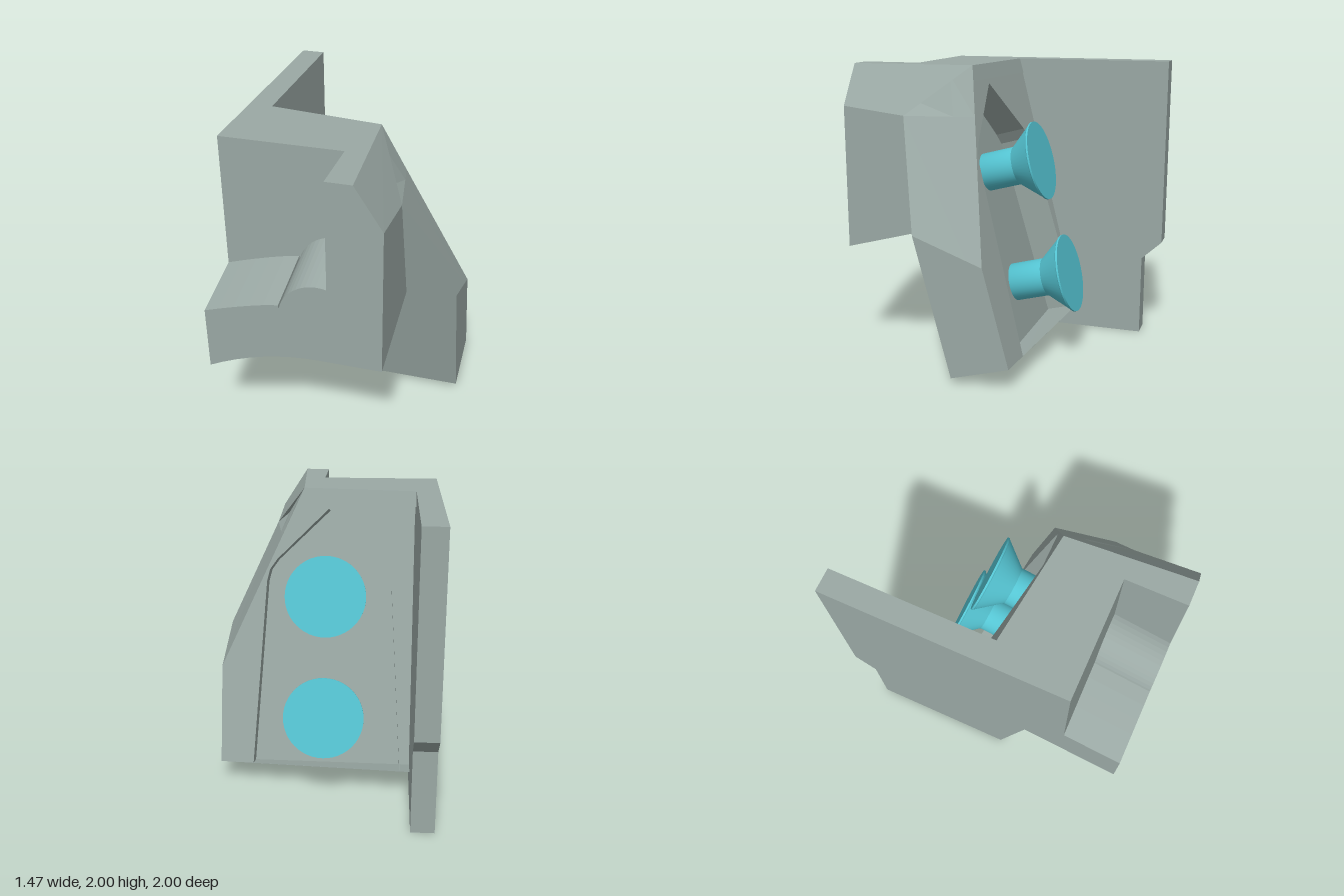
import * as THREE from 'three';

const S = Math.tan(Math.PI / 12); // the whole part leans back by 15 degrees
const TILT = Math.PI / 12;
const FLOOR = -0.207, FRONT = 0.119; // offsets of leaning planes z = offset + S*y

// Closed solid between two matching loops of 3D points; u, v are the axes used to cap it
function loft(a, b, u = 0, v = 1) {
  const n = a.length, tris = [];
  const flat = a.map(p => new THREE.Vector2(p[u], p[v]));
  const ccw = !THREE.ShapeUtils.isClockWise(flat);
  for (const [i, j, k] of THREE.ShapeUtils.triangulateShape(flat, [])) {
    const s = (flat[j].x - flat[i].x) * (flat[k].y - flat[i].y) - (flat[j].y - flat[i].y) * (flat[k].x - flat[i].x);
    const t = (s > 0) === ccw ? [i, j, k] : [i, k, j];
    tris.push([a[t[0]], a[t[2]], a[t[1]]], [b[t[0]], b[t[1]], b[t[2]]]);
  }
  for (let i = 0; i < n; i++) {
    const j = (i + 1) % n;
    tris.push([a[i], a[j], b[j]], [a[i], b[j], b[i]]);
  }
  // Turn the solid outward if its signed volume is negative
  const [A, B, C] = [0, 1, 2].map(() => new THREE.Vector3());
  let vol = 0;
  for (const t of tris) vol += A.fromArray(t[0]).dot(B.fromArray(t[1]).cross(C.fromArray(t[2])));
  const pos = tris.flatMap(t => (vol < 0 ? [t[0], t[2], t[1]] : t)).flat();
  const g = new THREE.BufferGeometry();
  g.setAttribute('position', new THREE.Float32BufferAttribute(pos, 3));
  g.computeVertexNormals();
  return g;
}

const rim = (x, y) => [x, y, -0.3855 + 0.115 * x + S * y];
const front = (x, y) => [x, y, FRONT + S * y];

export function createModel() {
  const group = new THREE.Group();
  const grey = new THREE.MeshStandardMaterial({ color: 0x9aa8a4 });
  grey.name = 'grey body';
  const cyan = new THREE.MeshStandardMaterial({ color: 0x55c5d3 });
  cyan.name = 'cyan fittings';
  const add = (name, geo, mat = grey, parent = group) => {
    const m = new THREE.Mesh(geo, mat);
    m.name = name;
    parent.add(m);
    return m;
  };

  // Flat side wall with a stepped rear edge
  const wall = [[-0.86, 0], [0.12, 0], [0.6, 1.795], [0.6, 2], [-1, 2], [-1, 0.7], [-0.86, 0.57]];
  add('sideWall', loft(wall.map(([z, y]) => [-0.735, y, z]), wall.map(([z, y]) => [-0.58, y, z]), 2, 1));

  // Leaning main plate: outline at the rear rim and at the front face
  const back = [rim(-0.58, 0.185), rim(0.73, 0.15), rim(0.73, 0.8), rim(0.319, 1.68), rim(0.17, 2), rim(-0.58, 2)];
  const fore = [front(-0.58, 0.04), front(0.73, 0.04), front(0.73, 0.97), front(0.4, 1.68), front(0.3, 1.795), front(-0.58, 1.795)];
  const mid = back.map((p, i) => {
    const gb = p[2] - S * p[1], gf = fore[i][2] - S * fore[i][1];
    const t = (FLOOR - gb) / (gf - gb);
    return p.map((c, k) => c + (fore[i][k] - c) * t);
  });
  add('mainPlate', loft(mid, fore));

  // Raised rim around the rear recess, open at the bottom
  const recess = [[-0.51, 0.184], [-0.43, 1.38], [-0.41, 1.45], [-0.36, 1.52], [0, 1.87],
    [0.35, 1.53], [0.4, 1.46], [0.42, 1.38], [0.5, 0.157]];
  const sunk = ([x, y]) => {
    const d = (FLOOR + 0.3855 - 0.115 * x) / (1 + S * S);
    const yy = y - S * d;
    return [x, yy, FLOOR + S * yy];
  };
  add('rearRim', loft([...back, ...recess.map(p => rim(...p))], [...mid, ...recess.map(sunk)]));

  // Top slab and the upright block above the arm
  const topPlan = [[-0.735, 2, 0.08], [-0.58, 2, 0.08], [0.17, 2, 0.17], [0.19, 2, 0.6], [-0.735, 2, 0.6]];
  const topLow = [[-0.735, 1.9, 0.053], [-0.58, 1.9, 0.053], [0.217, 1.9, 0.148], [0.23, 1.9, 0.6], [-0.735, 1.9, 0.6]];
  add('topSlab', loft(topPlan, topLow, 0, 2));
  add('upperBlock', new THREE.BoxGeometry(0.795, 1, 0.3).translate(-0.3375, 1.5, 0.45));

  // Front arm with a curved underside, stepped saddle and tall chamfered post
  const armFront = [], armBack = [];
  const armPoint = (x, y, end) => {
    armFront.push([x, y, 1]);
    armBack.push(end || [x, y + S * 0.7, 0.3]);
  };
  for (let i = 0; i <= 8; i++) {
    const x = -0.735 * (1 - i / 8);
    armPoint(x, 0.762 - 0.19 * (x / 0.735) ** 2);
  }
  armPoint(0.4, 0.762);
  armPoint(0.4, 1.73, [0.4, 1.68, 0.569]);
  armPoint(0.225, 2, [0.17, 2, 0.17]);
  armPoint(0.06, 2, [0.06, 2, 0.3]);
  for (let i = 0; i <= 12; i++) {
    const a = 1.328 + (2.93 - 1.328) * i / 12;
    armPoint(0.25 * Math.cos(a), 1.05 + 0.25 * Math.sin(a));
  }
  armPoint(-0.246, 1.13);
  for (let i = 1; i <= 5; i++) {
    const t = i / 5;
    armPoint(-0.246 - 0.489 * t, 1.13 - 0.13 * t ** 1.25);
  }
  add('frontArm', loft(armFront, armBack));

  // Two flared knobs standing out of the recess
  const flare = [[0, -0.48], [0.13, -0.48], [0.13, -0.175], [0.13, -0.175], [0.258, -0.018],
    [0.258, -0.018], [0.266, -0.012], [0.266, -0.012], [0.266, 0], [0.266, 0], [0, 0]];
  const knobGeo = new THREE.LatheGeometry(flare.map(p => new THREE.Vector2(...p)), 48);
  [[1.365, -0.26], [0.595, -0.47]].forEach(([y, z], i) => {
    const knob = add(i ? 'lowerKnob' : 'upperKnob', knobGeo, cyan);
    knob.position.set(0, y, z);
    knob.rotation.x = -Math.PI / 2 + TILT;
  });

  // Front button with a pointed collar lying on the plate
  const button = new THREE.Group();
  button.name = 'frontButton';
  button.position.set(0, 0.389, 0.3);
  button.rotation.x = TILT;
  group.add(button);
  add('buttonDisc', new THREE.CylinderGeometry(0.131, 0.131, 0.16, 48).rotateX(Math.PI / 2).translate(0, 0, -0.08), cyan, button);
  const drop = new THREE.Shape();
  drop.moveTo(0.04, 0.125);
  drop.lineTo(0, 0.16);
  drop.lineTo(-0.04, 0.125);
  drop.absarc(0, 0, 0.131, 1.881, 1.26 + Math.PI * 2, false);
  add('buttonCollar', new THREE.ExtrudeGeometry(drop, { depth: 0.04, bevelEnabled: false, curveSegments: 40 }).translate(0, 0, -0.105), cyan, button);

  return group;
}
